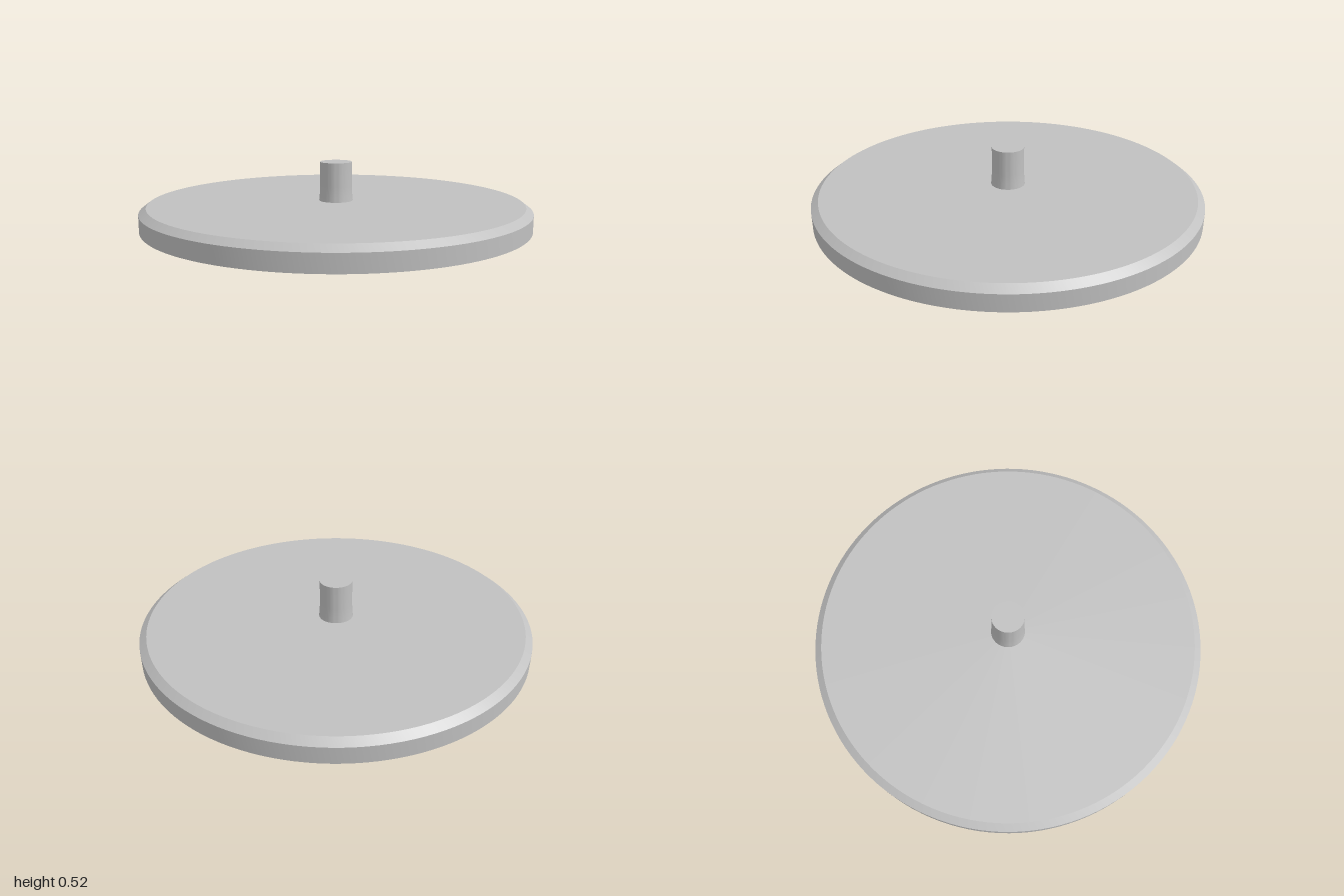
import * as THREE from 'three';
import { toCreasedNormals } from 'three/addons/utils/BufferGeometryUtils.js';

const CREASE = 0.5;

// Solid of revolution from [radius, height] pairs, listed from bottom to top
function revolve(name, profile, segments, material) {
  const points = profile.map(([r, y]) => new THREE.Vector2(r, y));
  const geometry = toCreasedNormals(new THREE.LatheGeometry(points, segments), CREASE);
  const mesh = new THREE.Mesh(geometry, material);
  mesh.name = name;
  return mesh;
}

export function createModel() {
  const group = new THREE.Group();
  group.name = 'turntable';
  const grey = new THREE.MeshStandardMaterial({ color: 0xc0c0c0 });
  grey.name = 'light grey';

  // Round platter with a chamfered upper rim
  group.add(revolve('platter', [
    [0, 0.21], [1, 0.21], [1, 0.295], [0.963, 0.323], [0, 0.323],
  ], 128, grey));

  // Spindle, slightly flared at its foot
  group.add(revolve('spindle', [
    [0.088, 0.323], [0.085, 0.355], [0.083, 0.4], [0.083, 0.525], [0, 0.525],
  ], 64, grey));

  // Hub below the platter with a socket for a shaft with two flats
  const hubShape = new THREE.Shape();
  hubShape.absarc(0, 0, 0.145, 0, Math.PI * 2, false);
  const socketRadius = 0.068;
  const flat = Math.asin(0.041 / socketRadius);
  const socket = new THREE.Path();
  socket.absarc(0, 0, socketRadius, -flat, flat, false);
  socket.absarc(0, 0, socketRadius, Math.PI - flat, Math.PI + flat, false);
  socket.closePath();
  hubShape.holes.push(socket);

  const hubGeometry = new THREE.ExtrudeGeometry(hubShape, {
    depth: 0.21, bevelEnabled: false, curveSegments: 64,
  });
  hubGeometry.rotateX(-Math.PI / 2);
  const hub = new THREE.Mesh(toCreasedNormals(hubGeometry, CREASE), grey);
  hub.name = 'hub';
  group.add(hub);

  return group;
}
